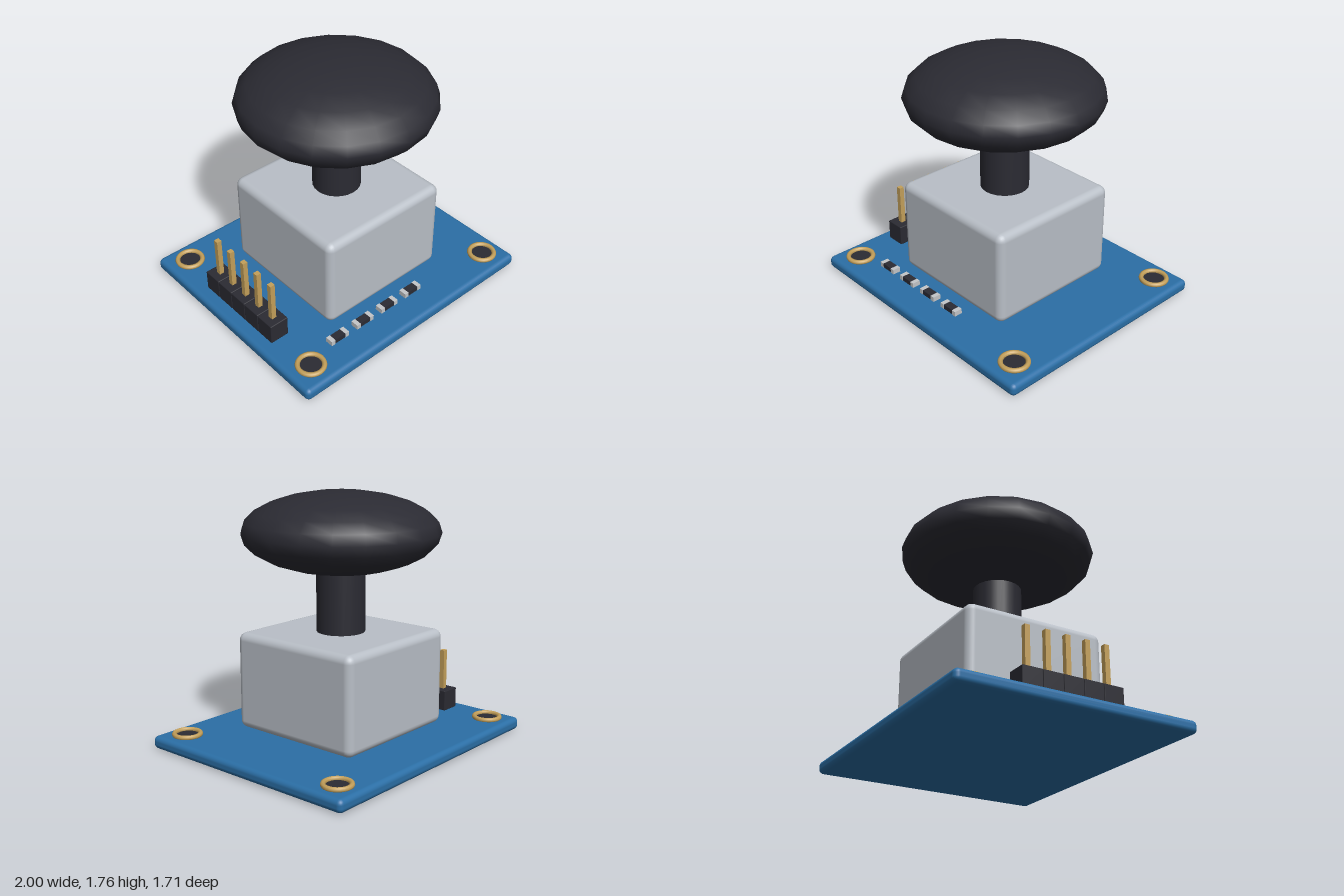
import * as THREE from 'three';
import { RoundedBoxGeometry } from 'three/addons/geometries/RoundedBoxGeometry.js';

const material = (name, color) => {
  const m = new THREE.MeshStandardMaterial({ color });
  m.name = name;
  return m;
};

export function createModel() {
  const blue = material('boardBlue', 0x2b6fa6);
  const grey = material('housingGrey', 0xb9bfc7);
  const black = material('plasticBlack', 0x2b2b33);
  const gold = material('contactGold', 0xc4a05a);
  const silver = material('solderSilver', 0xc4c6c8);

  const model = new THREE.Group();
  model.name = 'joystickModule';

  const add = (parent, name, geometry, mat, x, y, z) => {
    const mesh = new THREE.Mesh(geometry, mat);
    mesh.name = name;
    mesh.position.set(x, y, z);
    parent.add(mesh);
    return mesh;
  };
  const group = (name, x, y, z) => {
    const g = new THREE.Group();
    g.name = name;
    g.position.set(x, y, z);
    model.add(g);
    return g;
  };

  // Circuit board and joystick housing
  add(model, 'board', new RoundedBoxGeometry(2, 0.09, 1.71, 3, 0.035), blue, 0, 0.045, 0);
  add(model, 'housing', new RoundedBoxGeometry(1.02, 0.685, 1.02, 3, 0.055), grey, 0, 0.4475, 0);

  // Stick with a flattened thumb cap
  add(model, 'stem', new THREE.CylinderGeometry(0.17, 0.17, 0.6, 24), black, 0, 1.03, 0);
  const cap = add(model, 'thumbCap', new THREE.SphereGeometry(0.685, 20, 12), black, 0, 1.48, 0);
  cap.scale.y = 0.28 / 0.685;

  // Gold-rimmed mounting holes in the four corners
  const rim = new THREE.TorusGeometry(0.09, 0.0175, 8, 28).rotateX(Math.PI / 2);
  const hole = new THREE.CylinderGeometry(0.077, 0.077, 0.008, 28);
  for (const x of [-0.83, 0.83]) {
    for (const z of [-0.685, 0.685]) {
      const mount = group('mountingHole', x, 0, z);
      add(mount, 'holeRim', rim, gold, 0, 0.1, 0);
      add(mount, 'holeDisc', hole, black, 0, 0.092, 0);
    }
  }

  // Five-pin header along the right edge
  const block = new RoundedBoxGeometry(0.144, 0.15, 0.144, 1, 0.006);
  const pin = new THREE.BoxGeometry(0.036, 0.32, 0.036);
  for (let i = -2; i <= 2; i++) {
    const header = group('headerPin', -0.83, 0, i * 0.146);
    add(header, 'pinBlock', block, black, 0, 0.165, 0);
    add(header, 'pin', pin, gold, 0, 0.373, 0);
  }

  // Row of small resistors along the front edge
  const body = new THREE.BoxGeometry(0.1, 0.033, 0.056);
  const endCap = new THREE.BoxGeometry(0.032, 0.036, 0.06);
  for (let i = 0; i < 4; i++) {
    const resistor = group('resistor', -0.545 + i * 0.228, 0.117, 0.626);
    add(resistor, 'resistorBody', body, black, 0, 0, 0);
    for (const side of [-1, 1]) {
      add(resistor, 'resistorEnd', endCap, silver, side * 0.06, 0, 0);
    }
  }

  return model;
}
